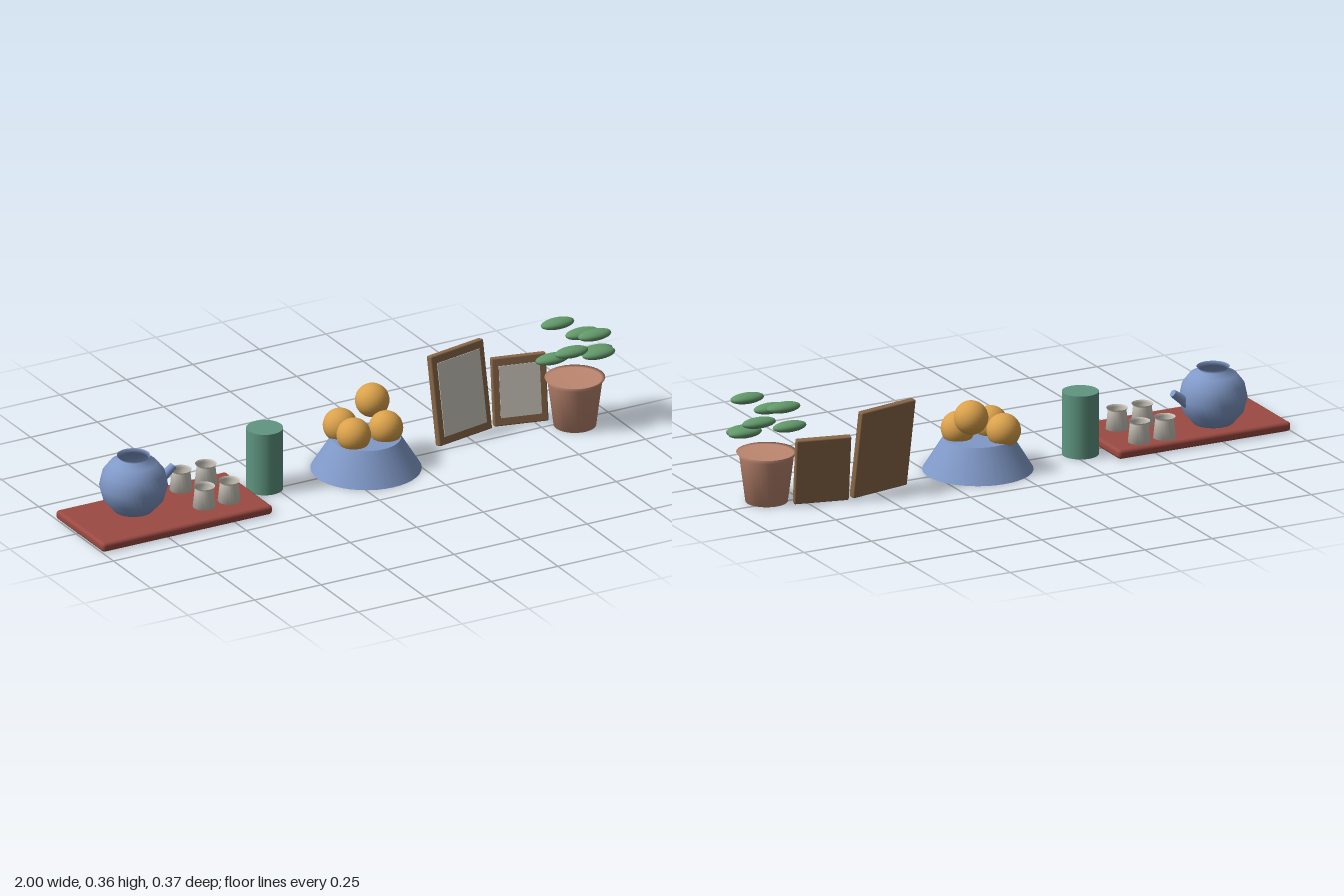
import * as THREE from 'three';
import { RoundedBoxGeometry } from 'three/addons/geometries/RoundedBoxGeometry.js';

const paint = (name, color, side = THREE.FrontSide) => {
  const m = new THREE.MeshStandardMaterial({ color, side });
  m.name = name;
  return m;
};

export function createModel() {
  const model = new THREE.Group();
  const red = paint('tray red', 0x9b4a42);
  const blue = paint('glaze blue', 0x8099c8, THREE.DoubleSide);
  const cream = paint('cup cream', 0xd2cdc2, THREE.DoubleSide);
  const green = paint('canister green', 0x5f9681);
  const orange = paint('fruit orange', 0xdba24c);
  const wood = paint('frame wood', 0x8a6849);
  const paper = paint('picture paper', 0xcfcbc0);
  const clay = paint('terracotta', 0xbd8770, THREE.DoubleSide);
  const leafGreen = paint('leaf green', 0x639a6b);

  const add = (name, geometry, material, x, y, z, parent = model) => {
    const mesh = new THREE.Mesh(geometry, material);
    mesh.name = name;
    mesh.position.set(x, y, z);
    parent.add(mesh);
    return mesh;
  };
  const lathe = (points, segments) =>
    new THREE.LatheGeometry(points.map(([r, y]) => new THREE.Vector2(r, y)), segments);

  // Tray
  add('tray', new RoundedBoxGeometry(0.64, 0.032, 0.32, 3, 0.012), red, -0.68, 0.016, 0.02);

  // Teapot with a flared open neck and a short slanted spout
  const teapot = new THREE.Group();
  teapot.name = 'teapot';
  teapot.position.set(-0.773, 0.032, -0.02);
  model.add(teapot);
  add('teapotBody', lathe([[0, 0], [0.065, 0], [0.1, 0.04], [0.113, 0.088], [0.103, 0.135],
    [0.078, 0.168], [0.045, 0.182], [0.055, 0.194]], 32), blue, 0, 0, 0, teapot);
  const spout = add('teapotSpout', new THREE.CylinderGeometry(0.013, 0.019, 0.085, 16),
    blue, 0.117, 0.097, 0, teapot);
  spout.rotation.z = -0.9;

  // Four cups
  const cup = lathe([[0, 0], [0.038, 0], [0.031, 0.064], [0.036, 0.072]], 20);
  for (const x of [-0.559, -0.465])
    for (const z of [-0.083, 0.072]) add('cup', cup, cream, x, 0.032, z);

  // Canister
  add('canister', new THREE.CylinderGeometry(0.061, 0.061, 0.217, 32), green, -0.28, 0.1085, -0.02);

  // Fruit stand with four fruits
  add('fruitStand', new THREE.CylinderGeometry(0.115, 0.183, 0.11, 40), blue, 0.09, 0.055, 0);
  const fruit = new THREE.SphereGeometry(0.057, 24, 16);
  for (const [x, y, z] of [[0.028, 0.142, -0.064], [0.028, 0.142, 0.028],
    [0.149, 0.142, 0.028], [0.149, 0.205, -0.064]]) add('fruit', fruit, orange, x, y, z);

  // Picture frames, turned towards each other and leaning back
  const pictureFrame = (w, h, x, z, yaw) => {
    const frame = new THREE.Group();
    frame.name = 'pictureFrame';
    frame.position.set(x, 0.002, z);
    frame.rotation.set(-0.15, yaw, 0, 'YXZ');
    add('frameBoard', new RoundedBoxGeometry(w, h, 0.024, 2, 0.005), wood, 0, h / 2, 0, frame);
    add('picture', new THREE.BoxGeometry(w - 0.046, h - 0.056, 0.004), paper, 0, h / 2, 0.0125, frame);
    model.add(frame);
  };
  pictureFrame(0.228, 0.31, 0.488, -0.053, 0.2);
  pictureFrame(0.186, 0.233, 0.705, -0.06, -0.23);

  // Plant pot, soil level disc and a spiral of floating leaves
  const plant = new THREE.Group();
  plant.name = 'pottedPlant';
  plant.position.set(0.857, 0, 0.032);
  model.add(plant);
  add('pot', lathe([[0, 0], [0.07, 0], [0.09, 0.155], [0.1, 0.17], [0.088, 0.166], [0, 0.166]], 32),
    clay, 0, 0, 0, plant);
  const leaf = new THREE.SphereGeometry(1, 20, 12).scale(0.061, 0.0175, 0.03);
  for (let i = 0; i < 7; i++) {
    const a = i * 1.1;
    add('leaf', leaf, leafGreen, 0.08 * Math.cos(a), 0.248 + 0.046 * ((i * 2) % 3),
      0.076 * Math.sin(a), plant);
  }
  return model;
}
